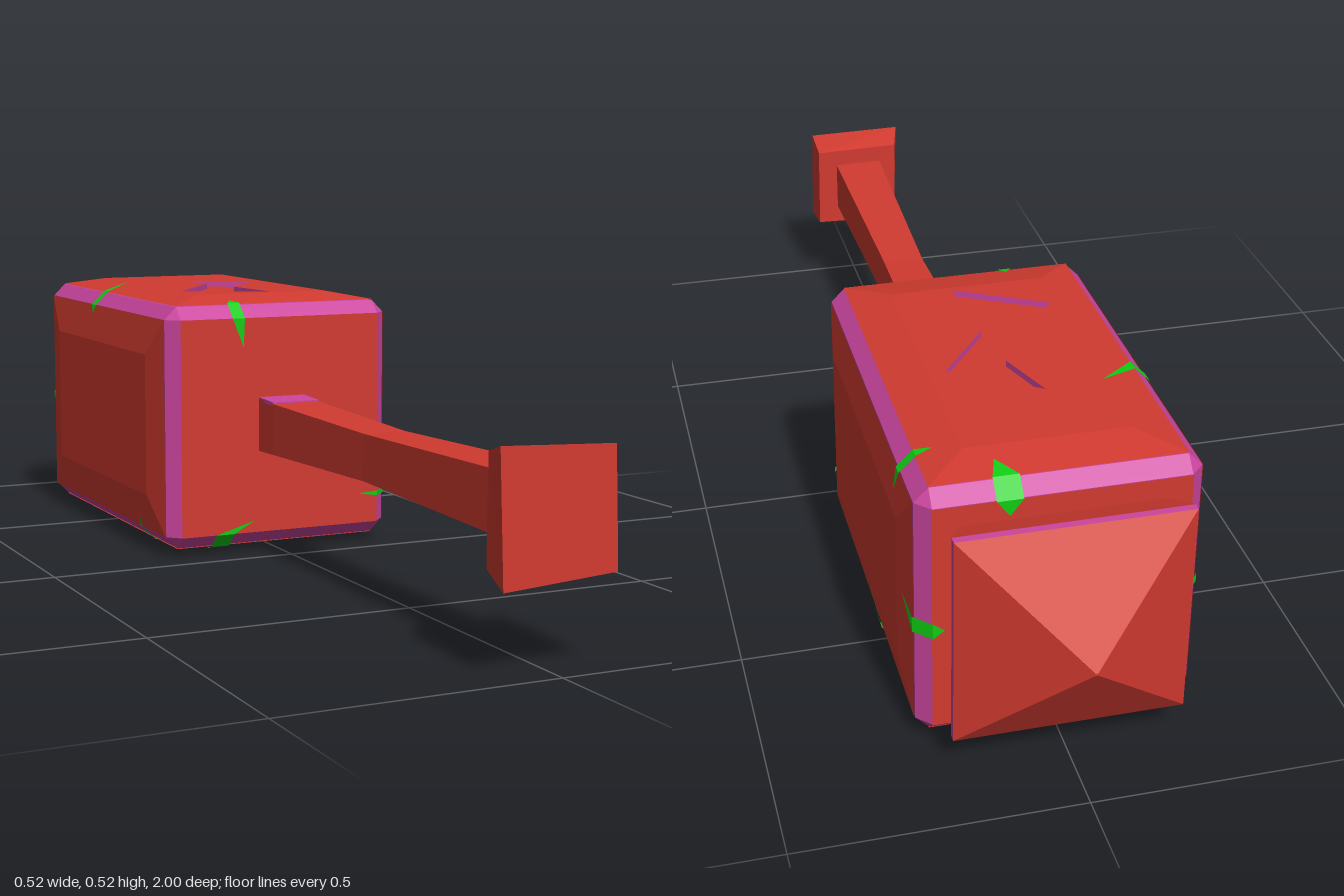
import * as THREE from 'three';
import { ConvexGeometry } from 'three/addons/geometries/ConvexGeometry.js';

const material = (name, color) => {
  const m = new THREE.MeshStandardMaterial({ color, side: THREE.DoubleSide, flatShading: true });
  m.name = name;
  return m;
};

// Flat-shaded geometry from convex polygons, each a list of [x, y, z] corners
function polygons(faces) {
  const pos = [];
  for (const f of faces)
    for (let i = 1; i < f.length - 1; i++) pos.push(...f[0], ...f[i], ...f[i + 1]);
  const g = new THREE.BufferGeometry();
  g.setAttribute('position', new THREE.Float32BufferAttribute(pos, 3));
  g.computeVertexNormals();
  return g;
}

// Rectangular ring, counter-clockwise seen from the front
const ring = (z, x0, x1, y0, y1) => [[x0, y0, z], [x1, y0, z], [x1, y1, z], [x0, y1, z]];

// Capped skin through four-cornered rings, ordered from back to front
function loft(rings) {
  const faces = [[...rings[0]].reverse(), rings[rings.length - 1]];
  for (let i = 0; i < rings.length - 1; i++)
    for (let j = 0; j < 4; j++) {
      const k = (j + 1) % 4;
      faces.push([rings[i][j], rings[i][k], rings[i + 1][k], rings[i + 1][j]]);
    }
  return polygons(faces);
}

export function createModel() {
  const red = material('red', 0xd13a30);
  const magenta = material('magenta', 0xcb459f);
  const green = material('green', 0x10cc14);

  const model = new THREE.Group();
  model.name = 'warHammer';
  const add = (parent, name, geometry, mat) => {
    const mesh = new THREE.Mesh(geometry, mat);
    mesh.name = name;
    parent.add(mesh);
    return mesh;
  };

  // Head: bevelled core whose bevels show between the face panels
  const H = [0.242, 0.243, 0.375], BEVEL = 0.025, BULGE = 0.015, INSET = 0.075;
  const head = new THREE.Group();
  head.name = 'head';
  head.position.set(0, 0.26, -0.425);
  model.add(head);
  const corners = [];
  for (const sx of [-1, 1]) for (const sy of [-1, 1]) for (const sz of [-1, 1])
    for (let axis = 0; axis < 3; axis++) {
      const p = H.map((h, i) => (i === axis ? h : h - BEVEL));
      corners.push(new THREE.Vector3(p[0] * sx, p[1] * sy, p[2] * sz));
    }
  add(head, 'bevelledEdges', new ConvexGeometry(corners), magenta);

  // Flat end panels
  for (const s of [-1, 1]) {
    const panel = add(head, s > 0 ? 'frontPanel' : 'backPanel', new THREE.PlaneGeometry(0.436, 0.436), red);
    panel.position.z = s * (H[2] + 0.002);
    if (s < 0) panel.rotation.y = Math.PI;
  }

  // Bulging long panels; the top and bottom carry an engraved rune
  const rune = [[-0.04, 0.125], [0.11, 0.025], [0.015, -0.1], [0.03, -0.265], [-0.135, -0.175], [0, 0.015]]
    .map(([x, y]) => new THREE.Vector2(x, y));
  const px = 0.218, pz = H[2] - BEVEL;
  for (let k = 0; k < 4; k++) {
    const side = new THREE.Group();
    side.name = ['topPanel', 'leftPanel', 'bottomPanel', 'rightPanel'][k];
    side.rotation.z = -k * Math.PI / 2;
    head.add(side);
    const base = H[k % 2 ? 0 : 1] + 0.0015, top = base + (k % 2 ? 0.012 : BULGE);
    const rect = (x, z, y) => [[-x, y, z], [x, y, z], [x, y, -z], [-x, y, -z]];
    const outer = rect(px, pz, base), inner = rect(px - INSET, pz - INSET, top);
    add(side, 'panelSlope', polygons(outer.map((p, i) => {
      const j = (i + 1) % 4;
      return [p, outer[j], inner[j], inner[i]];
    })), red);
    const face = new THREE.Shape(inner.map(p => new THREE.Vector2(p[0], -p[2])));
    if (k % 2 === 0) {
      face.holes.push(new THREE.Path(rune));
      const floorY = base + 0.003;
      add(side, 'runeFloor', new THREE.ShapeGeometry(new THREE.Shape(rune)).rotateX(-Math.PI / 2), red)
        .position.y = floorY;
      add(side, 'runeWalls', polygons(rune.map((p, i) => {
        const q = rune[(i + 1) % rune.length];
        return [[p.x, floorY, -p.y], [q.x, floorY, -q.y], [q.x, top, -q.y], [p.x, top, -p.y]];
      })), magenta);
    }
    add(side, 'panelFace', new THREE.ShapeGeometry(face).rotateX(-Math.PI / 2), red).position.y = top;
  }

  // Cracks folded over a bevel: axis and sign of both faces, position along
  // the edge, length on both faces, width, sideways drift of both tips
  function crack(a, sa, b, sb, t, lenA, lenB, width, driftA = 0, driftB = 0) {
    const e = 3 - a - b;
    const point = (n, sn, m, sm, len, along) => {
      const p = [0, 0, 0];
      const lift = n === 2 ? 0 : BULGE * Math.min(1, len / INSET);
      p[n] = sn * (H[n] + 0.004 + lift);
      p[m] = sm * (H[m] - BEVEL - len);
      p[e] = along;
      return p;
    };
    const w = width / 2;
    const a0 = point(a, sa, b, sb, 0, t - w), a1 = point(a, sa, b, sb, 0, t + w);
    const b0 = point(b, sb, a, sa, 0, t - w), b1 = point(b, sb, a, sa, 0, t + w);
    add(head, 'crack', polygons([
      [point(a, sa, b, sb, lenA, t + driftA), a0, a1],
      [a0, b0, b1, a1],
      [b0, point(b, sb, a, sa, lenB, t + driftB), b1],
    ]), green);
  }
  crack(2, 1, 1, 1, -0.094, 0.058, 0.02, 0.026, 0.01);           // front, top edge
  crack(2, 1, 1, -1, -0.125, 0.025, 0.02, 0.04, 0.065, -0.02);   // front, bottom edge
  crack(2, 1, 0, 1, -0.158, 0.045, 0.02, 0.01, 0.002);           // front, left edge
  crack(2, -1, 1, 1, 0.09, 0.03, 0.04, 0.045, 0, 0.01);          // back, top edge
  crack(2, -1, 1, -1, 0.12, 0.02, 0.02, 0.02);                   // back, bottom edge
  crack(2, -1, 0, 1, -0.02, 0.02, 0.04, 0.03, 0, 0.04);          // back, left edge
  crack(2, -1, 0, -1, -0.01, 0.02, 0.04, 0.015);                 // back, right edge
  crack(1, 1, 0, 1, -0.25, 0.03, 0.04, 0.02);                    // left top edge
  crack(1, 1, 0, -1, -0.06, 0.075, 0.02, 0.025, -0.06);          // right top edge
  crack(1, -1, 0, 1, -0.085, 0.02, 0.08, 0.018, 0, 0.008);       // left bottom edge
  crack(1, -1, 0, -1, 0.22, 0.02, 0.03, 0.01);                   // right bottom edge

  // Back spike: flared neck, thin rim and pyramid
  const spike = new THREE.Group();
  spike.name = 'spike';
  model.add(spike);
  const rimBack = ring(-0.874, -0.2, 0.2, 0.065, 0.462), rimFront = ring(-0.86, -0.2, 0.2, 0.065, 0.462);
  add(spike, 'spikePoint', loft([ring(-1, -0.002, 0.002, 0.263, 0.267), rimBack]), red);
  add(spike, 'spikeRim', loft([rimBack, rimFront]), magenta);
  add(spike, 'spikeNeck', loft([rimFront, ring(-0.79, -0.17, 0.17, 0.09, 0.435)]), red);

  // Handle, waisted in the middle, with a coloured patch at its root
  add(model, 'handle', loft([
    ring(-0.06, -0.05, 0.05, 0.208, 0.314),
    ring(0.02, -0.05, 0.05, 0.21, 0.312),
    ring(0.4, -0.042, 0.042, 0.217, 0.304),
    ring(0.93, -0.055, 0.05, 0.207, 0.315),
  ]), red);
  add(model, 'handleRoot', loft([
    ring(-0.055, -0.05, 0.05, 0.308, 0.318),
    ring(0.02, -0.05, 0.05, 0.308, 0.315),
  ]), magenta);

  // Slightly crooked pommel block
  add(model, 'pommel', loft([
    [[-0.09, 0.165, 0.915], [0.095, 0.17, 0.915], [0.092, 0.35, 0.915], [-0.092, 0.352, 0.92]],
    [[-0.104, 0.143, 0.99], [0.098, 0.16, 1], [0.093, 0.363, 0.995], [-0.11, 0.37, 0.985]],
  ]), red);

  return model;
}
